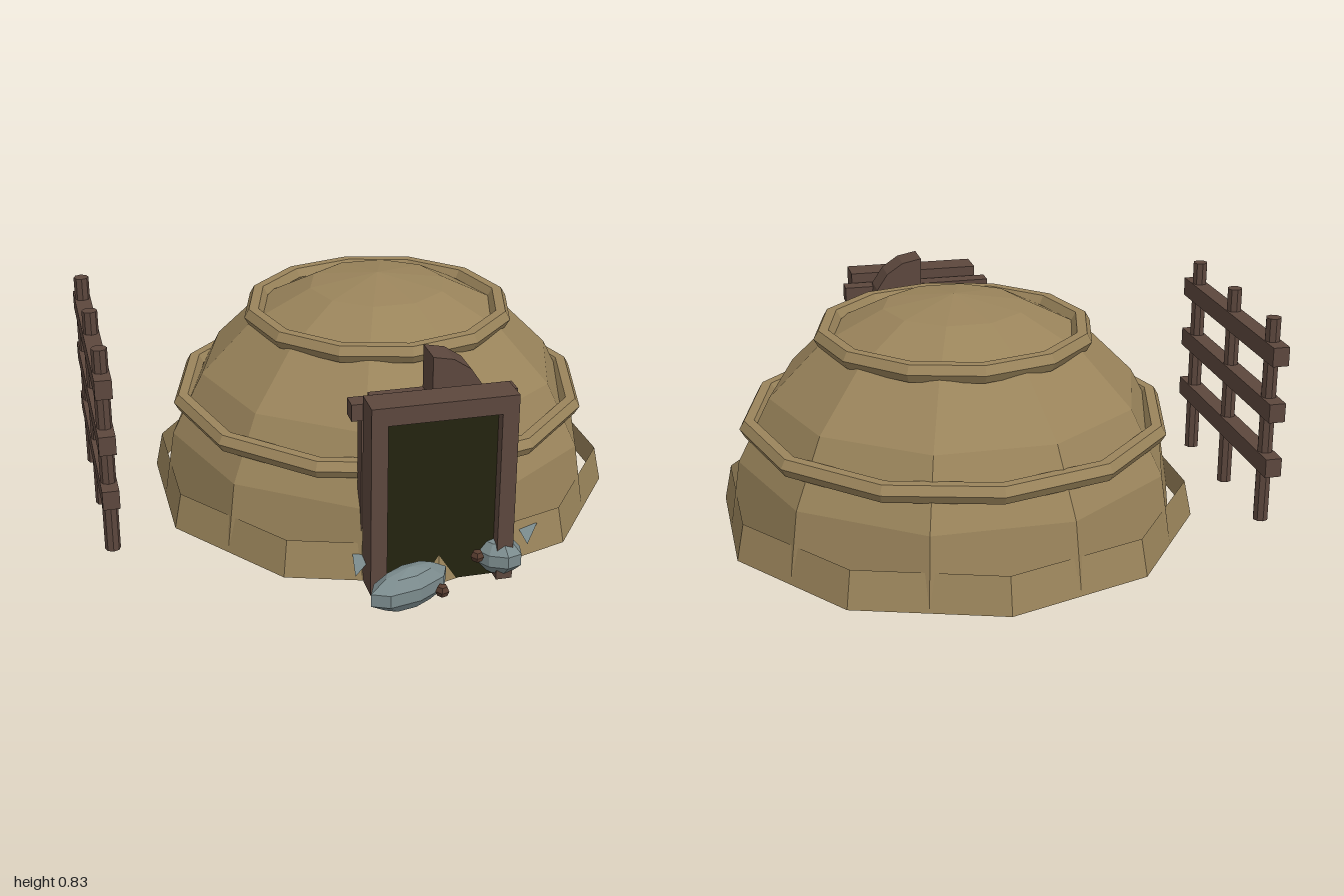
import * as THREE from 'three';

const mat = (name, color) => {
  const m = new THREE.MeshStandardMaterial({ color, flatShading: true });
  m.name = name;
  return m;
};

export function createModel() {
  const clay = mat('clay', 0x9a845b);
  clay.side = THREE.DoubleSide;
  const wood = mat('wood', 0x5c473d);
  const darkness = mat('doorway dark', 0x24230f);
  const stone = mat('stone', 0x7b8b8d);
  const pebble = mat('pebble brown', 0x573c2f);

  const model = new THREE.Group();
  model.name = 'domeHut';
  const group = (name, x = 0, z = 0) => {
    const g = new THREE.Group();
    g.name = name;
    g.position.set(x, 0, z);
    model.add(g);
    return g;
  };
  const add = (parent, name, geo, material, x, y, z) => {
    const m = new THREE.Mesh(geo, material);
    m.name = name;
    m.position.set(x, y, z);
    parent.add(m);
    return m;
  };
  // box given by its limits on each axis
  const block = (parent, name, material, x0, x1, y0, y1, z0, z1) =>
    add(parent, name, new THREE.BoxGeometry(x1 - x0, y1 - y0, z1 - z0), material,
      (x0 + x1) / 2, (y0 + y1) / 2, (z0 + z1) / 2);

  // dome, open underneath, with a flared skirt and two raised bands
  const hut = group('hut', 0.13, -0.13);
  add(hut, 'dome', new THREE.SphereGeometry(0.83, 10, 5, 0, Math.PI * 2, 0, Math.PI / 2), clay, 0, 0, 0);
  add(hut, 'skirt', new THREE.CylinderGeometry(0.845, 0.873, 0.133, 10, 1, true), clay, 0, 0.0665, 0);
  for (const [name, radius, y] of [['lowerBand', 0.745, 0.38], ['upperBand', 0.47, 0.695]]) {
    add(hut, name, new THREE.TorusGeometry(radius, 0.036, 6, 12), clay, 0, y, 0).rotation.x = Math.PI / 2;
  }

  // doorway, centred on x = 0.13
  const door = group('doorway', 0.13);
  for (const s of [-1, 1]) {
    add(door, 'doorPost', new THREE.BoxGeometry(0.057, 0.63, 0.115), wood, s * 0.2235, 0.315, 0.707);
    add(door, 'backPost', new THREE.BoxGeometry(0.057, 0.6, 0.05), wood, s * 0.2235, 0.3, 0.605);
  }
  block(door, 'doorHeader', wood, -0.252, 0.252, 0.63, 0.695, 0.65, 0.765);
  block(door, 'lintel', wood, -0.288, 0.288, 0.6, 0.66, 0.575, 0.64);
  block(door, 'porchBox', wood, -0.195, 0.195, 0.002, 0.63, 0.485, 0.713);
  block(door, 'doorOpening', darkness, -0.195, 0.195, 0.002, 0.63, 0.714, 0.722);

  // half-round slab standing behind the lintel
  const arch = new THREE.Shape();
  arch.moveTo(0, -0.19);
  for (let i = 1; i <= 8; i++) {
    const a = -Math.PI / 2 + i * Math.PI / 8;
    arch.lineTo(0.19 * Math.cos(a), 0.19 * Math.sin(a));
  }
  arch.closePath();
  add(door, 'halfRoundSlab', new THREE.ExtrudeGeometry(arch, { depth: 0.118, bevelEnabled: false }),
    wood, 0, 0.597, 0.487);

  // fence of three posts and three rails
  const fence = group('fence', -0.937, -0.13);
  for (const z of [-0.36, 0, 0.36]) {
    add(fence, 'fencePost', new THREE.CylinderGeometry(0.028, 0.028, 0.775, 8), wood, 0, 0.3875, z);
  }
  for (const y of [0.235, 0.445, 0.655]) {
    add(fence, 'fenceRail', new THREE.BoxGeometry(0.06, 0.07, 0.89), wood, 0, y, 0);
  }

  // boulders, shards and pebbles by the door
  const rocks = group('rocks');
  const boulder = (x, y, z, sx, sy, sz, turn) => {
    const m = add(rocks, 'boulder', new THREE.SphereGeometry(1, 8, 5), stone, x, y, z);
    m.scale.set(sx, sy, sz);
    m.rotation.y = turn;
  };
  boulder(-0.015, 0.08, 0.86, 0.165, 0.074, 0.07, 0.38);
  boulder(0.343, 0.075, 0.715, 0.095, 0.07, 0.07, -0.75);
  const shard = (x, y, z, turn) => {
    const m = add(rocks, 'shard', new THREE.ConeGeometry(0.045, 0.13, 3), stone, x, y, z);
    m.rotation.set(Math.PI / 2, 0, turn);
    m.scale.z = 0.6;
  };
  shard(0.475, 0.09, 0.645, 0.3);
  shard(-0.145, 0.08, 0.7, 0.45);
  for (const [x, z] of [[0.065, 0.975], [0.245, 0.79]]) {
    add(rocks, 'pebble', new THREE.SphereGeometry(0.024, 5, 4), pebble, x, 0.12, z);
  }
  return model;
}
